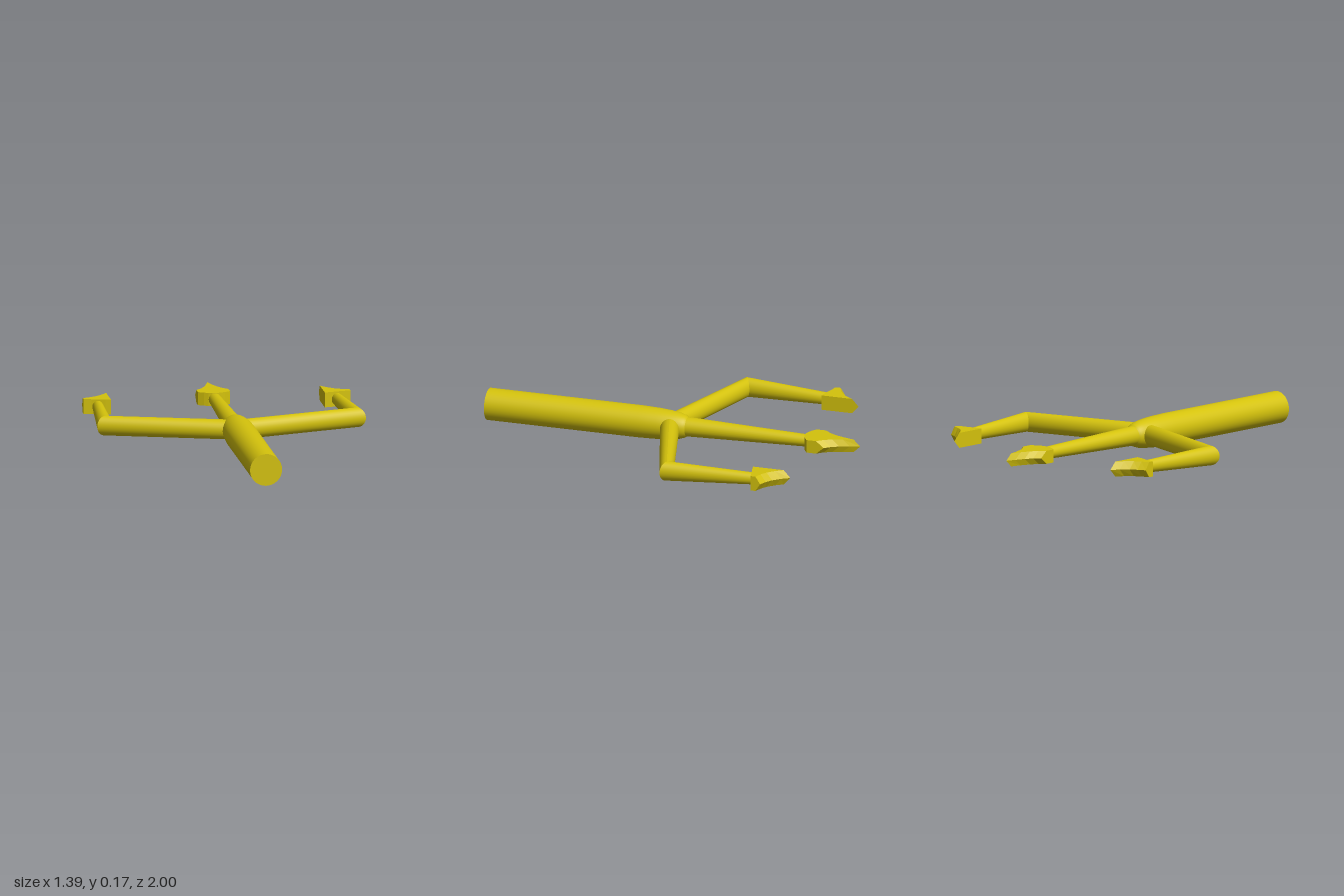
import * as THREE from 'three';

const material = new THREE.MeshStandardMaterial({ color: 0xd4c20c });
const bladeMaterial = new THREE.MeshStandardMaterial({ color: 0xd4c20c, flatShading: true });

function add(parent, name, geometry, mat = material) {
  const mesh = new THREE.Mesh(geometry, mat);
  mesh.name = name;
  parent.add(mesh);
  return mesh;
}

// Round bar between two end rings; each ring is { x, z, hx, hz, r }:
// centre, horizontal half-width vector (may be mitred) and vertical radius
function strut(a, b) {
  const g = new THREE.CylinderGeometry(1, 1, 1, 28, 1);
  const p = g.attributes.position;
  for (let i = 0; i < p.count; i++) {
    const e = p.getY(i) > 0 ? b : a;
    const u = p.getX(i), v = p.getZ(i);
    p.setXYZ(i, e.x + u * e.hx, v * e.r, e.z + u * e.hz);
  }
  g.computeVertexNormals();
  return g;
}

// Blade lofted along x: a flat body whose leading edge is bevelled to a ridge.
// Each station is [x, ridge z, bevel z, base z]
function blade(stations, h) {
  const rings = stations.map(([x, ridge, bevel, base]) => [
    [x, -h, base], [x, -h, bevel], [x, 0, ridge], [x, h, bevel], [x, h, base],
  ]);
  const pos = [];
  const tri = (a, b, c) => pos.push(...a, ...b, ...c);
  for (let i = 0; i < rings.length - 1; i++) {
    for (let j = 0; j < 5; j++) {
      const k = (j + 1) % 5;
      tri(rings[i][j], rings[i][k], rings[i + 1][k]);
      tri(rings[i][j], rings[i + 1][k], rings[i + 1][j]);
    }
  }
  const first = rings[0], last = rings[rings.length - 1];
  for (let j = 1; j < 4; j++) {
    tri(first[0], first[j + 1], first[j]);
    tri(last[0], last[j], last[j + 1]);
  }
  const g = new THREE.BufferGeometry();
  g.setAttribute('position', new THREE.Float32BufferAttribute(pos, 3));
  g.computeVertexNormals();
  return g;
}

export function createModel() {
  const model = new THREE.Group();
  model.name = 'trident';
  const body = new THREE.Group();
  body.name = 'tridentBody';
  body.position.y = 0.084;
  model.add(body);

  // Handle with a rounded shoulder
  const handleProfile = [
    [0.083, -1], [0.083, -0.4], [0.083, -0.18], [0.08, -0.08], [0.075, -0.02],
    [0.068, 0.03], [0.058, 0.06], [0.05, 0.07],
  ].map(([r, y]) => new THREE.Vector2(r, y));
  add(body, 'handle', new THREE.LatheGeometry(handleProfile, 36)).rotation.x = -Math.PI / 2;
  add(body, 'handleEndCap', new THREE.CircleGeometry(0.083, 36)).position.z = 1;

  // Tapered middle prong
  const prong = add(body, 'middleProng', new THREE.CylinderGeometry(0.031, 0.051, 0.7, 28));
  prong.rotation.x = -Math.PI / 2;
  prong.position.z = -0.39;

  // Middle spear head, symmetric about x = 0
  const half = [
    [0.083, -0.83, -0.79, -0.738], [0.055, -0.86, -0.82, -0.72],
    [0.033, -0.9, -0.86, -0.71], [0.015, -0.95, -0.91, -0.705],
  ];
  const middle = [
    ...half.map(([x, ...z]) => [-x, ...z]),
    [0, -1, -0.965, -0.705],
    ...[...half].reverse(),
  ];
  add(body, 'middleSpearHead', blade(middle, 0.034), bladeMaterial);

  // Side arms, prongs and half heads; the second side is turned half round
  const root = { x: 0.03, z: 0.016, hx: 0.0147, hz: 0.048, r: 0.051 };
  const elbow = { x: 0.6525, z: -0.175, hx: 0.0425, hz: 0.025, r: 0.051 };
  const top = { x: 0.617, z: -0.64, hx: 0.028, hz: 0, r: 0.031 };
  const sideHead = [
    [0.553, -0.808, -0.772, -0.607], [0.58, -0.766, -0.734, -0.612],
    [0.615, -0.73, -0.7, -0.621], [0.65, -0.707, -0.68, -0.63],
    [0.69, -0.69, -0.665, -0.638],
  ];
  for (const [name, turn] of [['left', 0], ['right', Math.PI]]) {
    const side = new THREE.Group();
    side.name = name + 'Branch';
    side.rotation.z = turn;
    add(side, name + 'Arm', strut(root, elbow));
    add(side, name + 'Prong', strut(elbow, top));
    add(side, name + 'SpearHead', blade(sideHead, 0.039), bladeMaterial);
    body.add(side);
  }
  return model;
}
